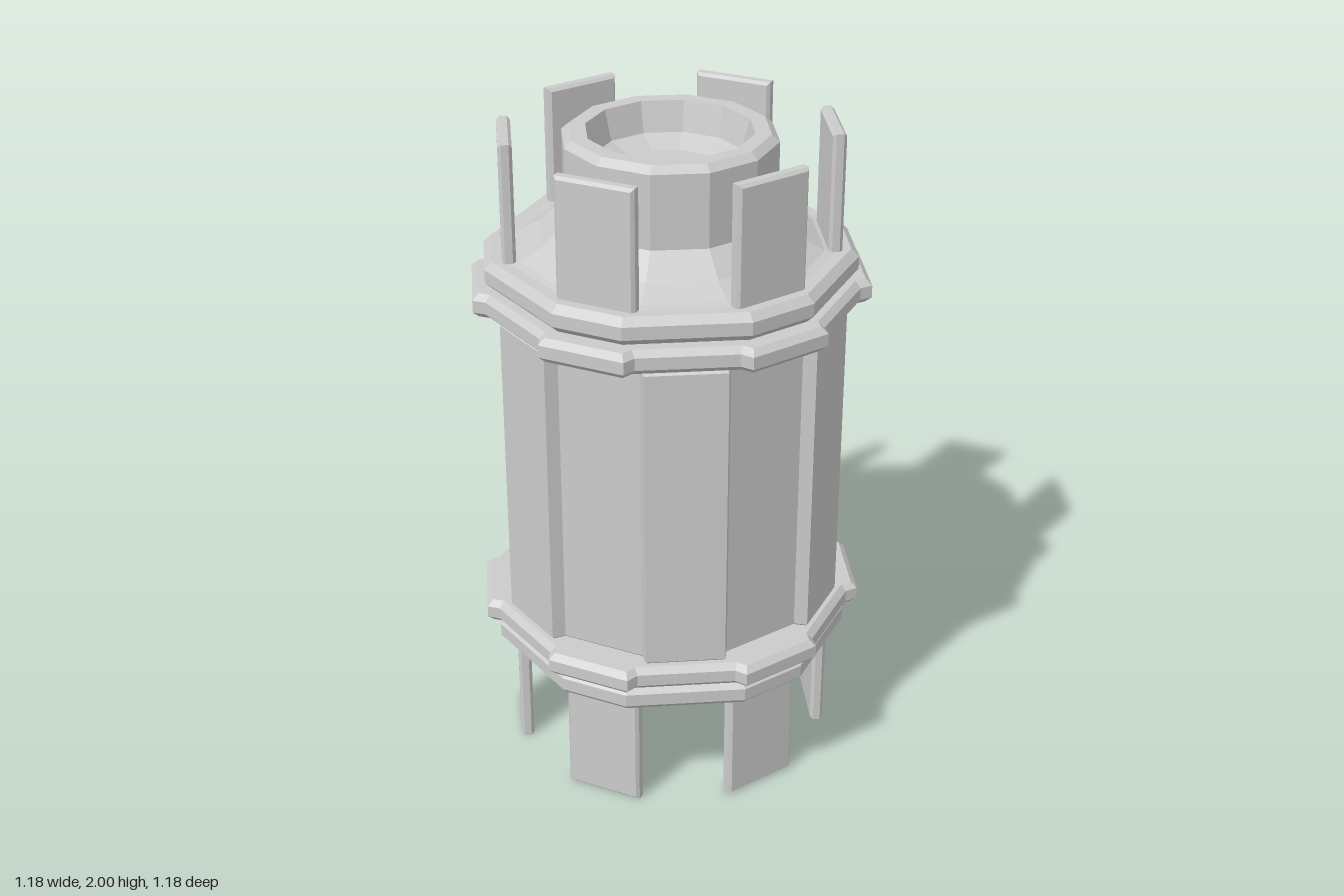
import * as THREE from 'three';

const material = new THREE.MeshStandardMaterial({ color: 0xcccccc, flatShading: true });
const DEG = Math.PI / 180;

// Twelve-sided outline of corner radius r; every second side, starting at
// angle first, carries a raised pad at distance n reaching t to each side.
function paddedOutline(r, n, t, first) {
  const points = [];
  for (let k = 0; k < 6; k++) {
    const a = (first + 60 * k) * DEG;
    const at = (d, s) => new THREE.Vector2(
      d * Math.cos(a) - s * Math.sin(a), d * Math.sin(a) + s * Math.cos(a));
    const d = r * Math.cos(15 * DEG), s = r * Math.sin(15 * DEG);
    points.push(at(d, -s), at(n, -t), at(n, t), at(d, s));
  }
  return new THREE.Shape(points);
}

// Extrusion of total length depth with all its rims chamfered
function chamfered(shape, depth, chamfer) {
  const geometry = new THREE.ExtrudeGeometry(shape, {
    depth: depth - 2 * chamfer, bevelEnabled: true, bevelSegments: 1,
    bevelSize: chamfer, bevelThickness: chamfer, bevelOffset: -chamfer,
  });
  return geometry.translate(0, 0, chamfer);
}

// Upright prism from y0 to y1
function prism(shape, y0, y1, chamfer) {
  return chamfered(shape, y1 - y0, chamfer).rotateX(-Math.PI / 2).translate(0, y0, 0);
}

// Upright plate centred at its own origin
function plate(width, height, depth, chamfer) {
  const w = width / 2, h = height / 2;
  const shape = new THREE.Shape([
    new THREE.Vector2(-w, -h), new THREE.Vector2(w, -h),
    new THREE.Vector2(w, h), new THREE.Vector2(-w, h),
  ]);
  return chamfered(shape, depth, chamfer).translate(0, 0, -depth / 2);
}

function add(parent, name, geometry) {
  const mesh = new THREE.Mesh(geometry, material);
  mesh.name = name;
  parent.add(mesh);
  return mesh;
}

export function createModel() {
  const model = new THREE.Group();
  model.name = 'canister';

  // Core with flat base, sloped shoulder, neck and recessed mouth
  const profile = [
    [0, 0.33], [0.43, 0.33], [0.505, 0.365], [0.48, 0.45], [0.48, 1.55],
    [0.51, 1.638], [0.45, 1.65], [0.385, 1.685], [0.313, 1.75], [0.313, 1.97],
    [0.29, 1.99], [0.243, 1.99], [0.22, 1.9], [0.15, 1.87], [0, 1.87],
  ].map(([x, y]) => new THREE.Vector2(x, y));
  add(model, 'core', new THREE.LatheGeometry(profile, 12));

  // Barrel with six raised panels, staggered against the ring pads
  add(model, 'barrel', prism(paddedOutline(0.487, 0.51, 0.117, 15), 0.52, 1.48, 0.01));

  // Wide and narrow rings, mirrored at both ends
  const wide = paddedOutline(0.557, 0.575, 0.129, 45);
  const narrow = paddedOutline(0.535, 0.537, 0.105, 45);
  add(model, 'upperWideRing', prism(wide, 1.485, 1.558, 0.018));
  add(model, 'lowerWideRing', prism(wide, 0.45, 0.523, 0.018));
  add(model, 'upperNarrowRing', prism(narrow, 1.562, 1.645, 0.022));
  add(model, 'lowerNarrowRing', prism(narrow, 0.36, 0.443, 0.022));

  // Upright tabs above and below, in line with the ring pads
  const tab = plate(0.238, 0.37, 0.04, 0.009);
  for (const [name, y] of [['upperTab', 1.815], ['lowerTab', 0.185]]) {
    for (let k = 0; k < 6; k++) {
      const a = (15 + 60 * k) * DEG;
      const mesh = add(model, name, tab);
      mesh.position.set(0.466 * Math.cos(a), y, 0.466 * Math.sin(a));
      mesh.rotation.y = Math.PI / 2 - a;
    }
  }
  return model;
}
